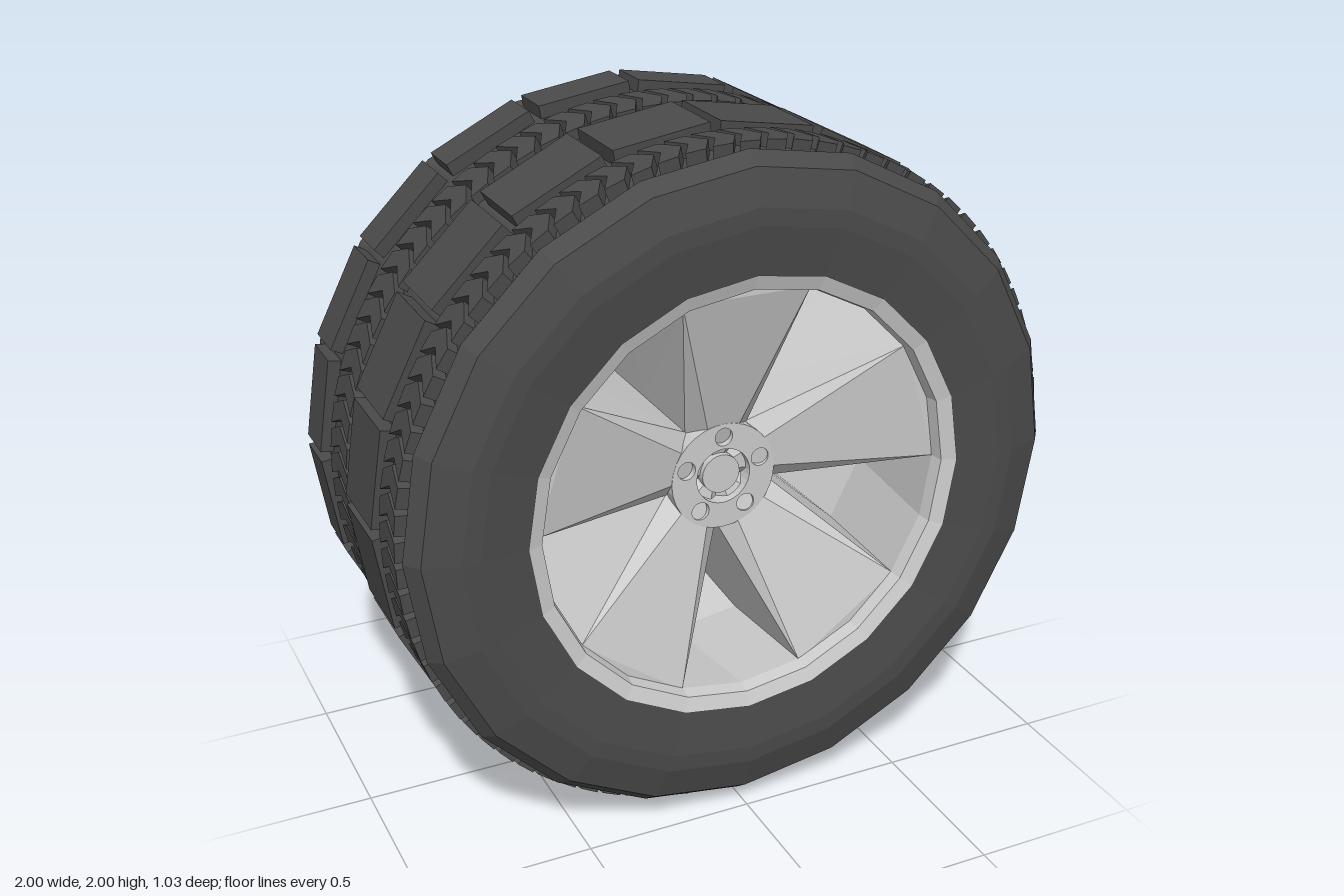
import * as THREE from 'three';
import { mergeGeometries } from 'three/addons/utils/BufferGeometryUtils.js';

const SIDES = 20;
const STEP = (Math.PI * 2) / SIDES;
const deg = THREE.MathUtils.degToRad;
const rubber = new THREE.MeshStandardMaterial({ color: 0x4a4a4a, flatShading: true });
const metal = new THREE.MeshStandardMaterial({ color: 0xcccccc, flatShading: true, side: THREE.DoubleSide });
const smoothMetal = new THREE.MeshStandardMaterial({ color: 0xcccccc });

const polar = (r, a) => new THREE.Vector2(r * Math.cos(a), r * Math.sin(a));

function part(name, geometry, material) {
  const mesh = new THREE.Mesh(geometry, material);
  mesh.name = name;
  return mesh;
}

// Revolve a [radius, z] profile about the wheel axis
function revolve(profile) {
  const points = profile.map(([r, z]) => new THREE.Vector2(r, z));
  return new THREE.LatheGeometry(points, SIDES).rotateX(Math.PI / 2);
}

// Copy a geometry around the wheel axis and merge the copies
function ring(geometry, count, start = 0) {
  const copies = [];
  for (let i = 0; i < count; i++) {
    copies.push(geometry.clone().rotateZ(start + (i * Math.PI * 2) / count));
  }
  return mergeGeometries(copies);
}

// Ring of flat tread blocks with tapered ends
function treadBlocks(radius, z0, z1) {
  const half = STEP / 2;
  const shape = new THREE.Shape([
    polar(0.92, -half + 0.006), polar(radius, -half + 0.016),
    polar(radius, half - 0.016), polar(0.92, half - 0.006),
  ]);
  const block = new THREE.ExtrudeGeometry(shape, { depth: z1 - z0, bevelEnabled: false });
  block.translate(0, 0, z0);
  return ring(block, SIDES, half);
}

// Ring of chevron lugs pointing clockwise seen from the front
function chevrons(z0, z1) {
  const count = 80;
  const w = (z1 - z0) / 2;
  const t = 0.058; // lug length along the tread
  const s = 0.038; // sweep of the arms
  const shape = new THREE.Shape();
  shape.moveTo(-w, s / 2);
  shape.lineTo(0, -s / 2);
  shape.lineTo(w, s / 2);
  shape.lineTo(w, s / 2 + t);
  shape.lineTo(0, -s / 2 + t);
  shape.lineTo(-w, s / 2 + t);
  const lug = new THREE.ExtrudeGeometry(shape, { depth: 0.055, bevelEnabled: false });
  lug.translate(0, -t / 2, 0.93).rotateY(Math.PI / 2).translate(0, 0, (z0 + z1) / 2);
  return ring(lug, count, Math.PI / count);
}

// Spoke: narrow at the outside in angle, deeper in z towards the rim
function spokeGeometry() {
  const shape = new THREE.Shape([
    new THREE.Vector2(0, 0), polar(0.165, deg(54)), polar(0.61, deg(72)),
    polar(0.61, deg(90)), polar(0.61, deg(108)), polar(0.165, deg(126)),
  ]);
  const geometry = new THREE.ExtrudeGeometry(shape, { depth: 2, steps: 2, bevelEnabled: false });
  geometry.translate(0, 0, -1);
  const p = geometry.attributes.position;
  for (let i = 0; i < p.count; i++) {
    const r = Math.hypot(p.getX(i), p.getY(i));
    const t = Math.max(0, (r - 0.165) / 0.445);
    const layer = Math.round(p.getZ(i));
    const grow = layer === 0 && r > 0.5 ? 1.1 : 1; // follow the barrel
    p.setXYZ(i, p.getX(i) * grow, p.getY(i) * grow, layer * (0.27 + 0.18 * t));
  }
  geometry.computeVertexNormals();
  return geometry;
}

// Hub plate with bolt holes and a centre cap
function hub() {
  const group = new THREE.Group();
  group.name = 'hub';
  const shape = new THREE.Shape().absarc(0, 0, 0.16, 0, Math.PI * 2);
  const hole = (x, y, r) => shape.holes.push(new THREE.Path().absarc(x, y, r, 0, Math.PI * 2, true));
  hole(0, 0, 0.083);
  for (let i = 0; i < 5; i++) {
    const c = polar(0.12, deg(90 + 72 * i));
    hole(c.x, c.y, 0.027);
  }
  const plate = new THREE.ExtrudeGeometry(shape, { depth: 0.06, bevelEnabled: false, curveSegments: 16 });
  plate.translate(0, 0, 0.26);
  const cap = new THREE.CylinderGeometry(0.058, 0.058, 0.05, 24);
  cap.rotateX(Math.PI / 2).translate(0, 0, 0.28);
  group.add(part('hubPlate', plate, smoothMetal), part('centreCap', cap, smoothMetal));
  return group;
}

export function createModel() {
  const model = new THREE.Group();
  model.name = 'wheel';
  const wheel = new THREE.Group();
  wheel.name = 'wheelAssembly';
  wheel.position.y = 1;
  model.add(wheel);

  // Tyre carcass, mirrored front to back
  const side = [[0.65, 0.5], [0.79, 0.515], [0.84, 0.513], [0.94, 0.485], [0.975, 0.44], [0.957, 0.405]];
  const back = side.map(([r, z]) => [r, -z]);
  wheel.add(part('tyre', revolve([...back, ...side.slice().reverse()]), rubber));

  // Tread bands
  wheel.add(part('wideTreadBlocks', treadBlocks(1, 0.01, 0.25), rubber));
  wheel.add(part('narrowTreadBlocks', treadBlocks(0.993, -0.42, -0.28), rubber));
  wheel.add(part('frontChevrons', chevrons(0.28, 0.41), rubber));
  wheel.add(part('rearChevrons', chevrons(-0.19, -0.03), rubber));

  // Rim lips and barrel
  const rim = [[0.655, 0.505], [0.612, 0.49], [0.605, 0.45], [0.67, 0]];
  const rimBack = rim.slice(0, 3).reverse().map(([r, z]) => [r, -z]);
  wheel.add(part('rim', revolve([...rim, ...rimBack]), metal));

  // Five spokes
  const spoke = spokeGeometry();
  for (let i = 0; i < 5; i++) {
    const mesh = part('spoke', spoke, metal);
    mesh.rotation.z = deg(72 * i);
    wheel.add(mesh);
  }

  // Hubs on both faces
  const rearHub = hub();
  rearHub.rotation.y = Math.PI;
  wheel.add(hub(), rearHub);
  return model;
}
